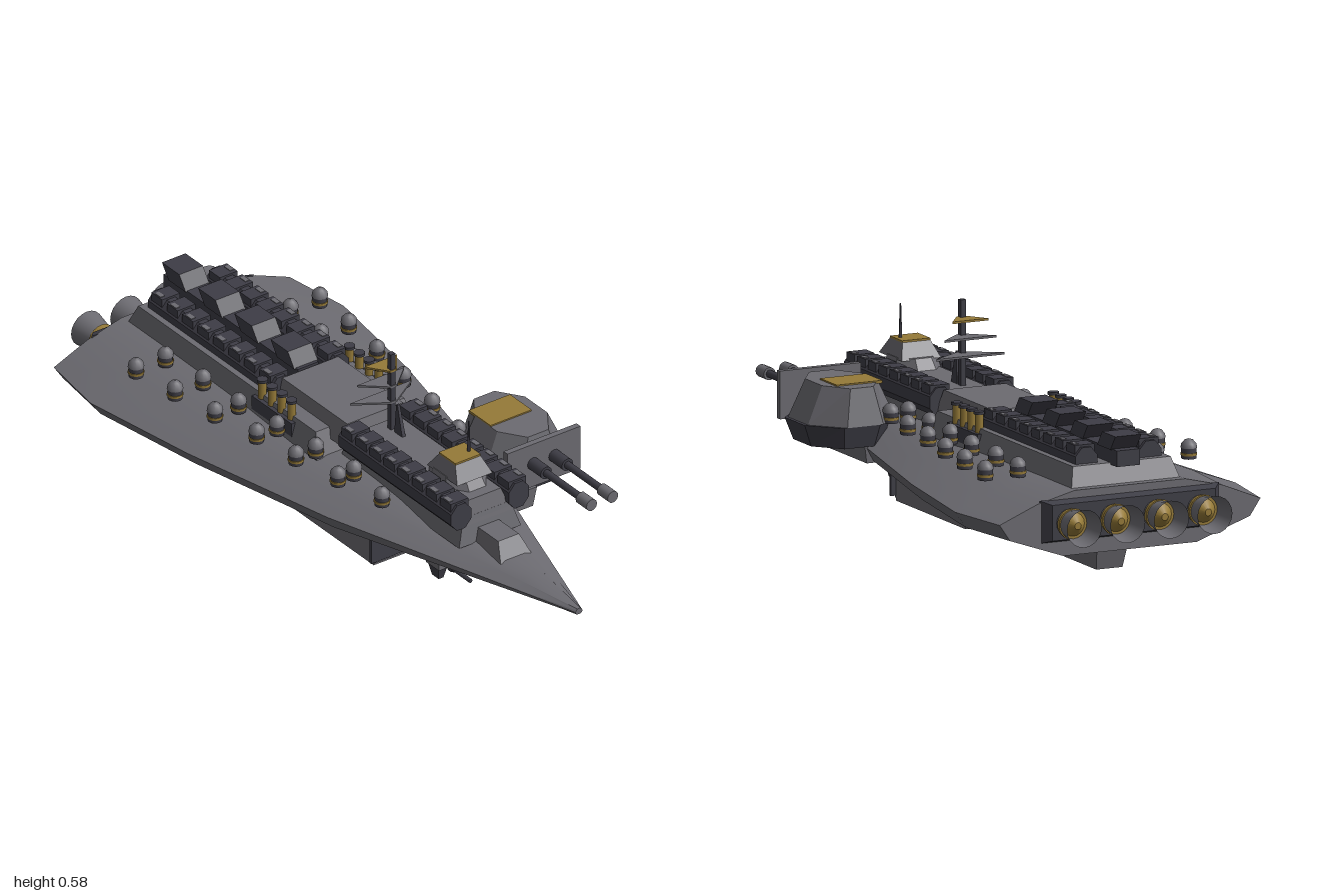
import * as THREE from 'three';
import { toCreasedNormals } from 'three/addons/utils/BufferGeometryUtils.js';

export function createModel() {
  const mat = (name, color) => Object.assign(new THREE.MeshStandardMaterial({ color }), { name });
  const grey = mat('hull grey', 0x6c6b71);
  const dark = mat('dark steel', 0x3e3d46);
  const gold = mat('brass', 0x957a38);
  const bell = mat('nozzle grey', 0x6c6b71);
  bell.side = THREE.DoubleSide;

  const model = new THREE.Group();
  model.name = 'spaceship';
  const ship = new THREE.Group();
  ship.name = 'ship';
  ship.position.x = -0.005;
  model.add(ship);

  const add = (name, geo, material, x = 0, y = 0, z = 0, parent = ship) => {
    const m = new THREE.Mesh(geo, material);
    m.name = name;
    m.position.set(x, y, z);
    parent.add(m);
    return m;
  };
  // Box given by its extents
  const box = (name, m, x0, x1, y0, y1, z0, z1) =>
    add(name, new THREE.BoxGeometry(x1 - x0, y1 - y0, z1 - z0), m, (x0 + x1) / 2, (y0 + y1) / 2, (z0 + z1) / 2);
  // Tapered prism with n sides: half sizes at bottom and top, top shifted along z
  const frustum = (n, bx, bz, tx, tz, h, shift = 0) => {
    const g = new THREE.CylinderGeometry(1, 1, h, n).rotateY(Math.PI / n).toNonIndexed();
    const p = g.attributes.position, k = 1 / Math.cos(Math.PI / n);
    for (let i = 0; i < p.count; i++) {
      const top = p.getY(i) > 0;
      p.setX(i, p.getX(i) * k * (top ? tx : bx));
      p.setZ(i, p.getZ(i) * k * (top ? tz : bz) + (top ? shift : 0));
    }
    g.computeVertexNormals();
    return g;
  };
  const rod = (r0, r1, len, n = 12) => new THREE.CylinderGeometry(r1, r0, len, n).rotateX(Math.PI / 2);

  // Hull: z, half width, edge height, deck height, deck half width, keel height, keel half width
  const stations = [
    [1.0, 0.012, 0.184, 0.193, 0.005, 0.175, 0.006],
    [0.8, 0.075, 0.185, 0.208, 0.02, 0.155, 0.04],
    [0.6, 0.138, 0.185, 0.222, 0.05, 0.135, 0.07],
    [0.2, 0.265, 0.186, 0.245, 0.12, 0.1, 0.13],
    [-0.3, 0.375, 0.186, 0.257, 0.16, 0.087, 0.19],
    [-0.67, 0.43, 0.184, 0.26, 0.17, 0.08, 0.215],
    [-0.88, 0.4, 0.184, 0.26, 0.17, 0.08, 0.205],
  ];
  const pos = [], idx = [];
  for (const [z, w, e, t, tw, b, bw] of stations) {
    const half = [
      [tw, t], [tw + (w - tw) * 0.5, e + (t - e) * 0.62], [w, e],
      [w * 0.92, e + (b - e) * 0.45], [bw, b],
    ];
    const ring = [...half, ...half.slice().reverse().map(([x, y]) => [-x, y])];
    for (const [x, y] of ring) pos.push(x, y, z);
  }
  const N = 10, last = (stations.length - 1) * N;
  for (let i = 0; i < last; i += N)
    for (let j = 0; j < N; j++) {
      const k = (j + 1) % N;
      idx.push(i + j, i + k, i + N + j, i + k, i + N + k, i + N + j);
    }
  for (let j = 1; j < N - 1; j++) {
    idx.push(0, j + 1, j);
    idx.push(last, last + j, last + j + 1);
  }
  const hull = new THREE.BufferGeometry();
  hull.setAttribute('position', new THREE.Float32BufferAttribute(pos, 3));
  hull.setIndex(idx);
  add('hull', toCreasedNormals(hull, 0.35), grey);

  // Raised decks and bridge
  add('rearDeck', frustum(4, 0.17, 0.44, 0.15, 0.41, 0.07), grey, 0, 0.28, -0.42);
  add('middleDeck', frustum(4, 0.11, 0.17, 0.095, 0.15, 0.07), grey, 0, 0.32, -0.09);
  add('frontDeck', frustum(4, 0.105, 0.28, 0.08, 0.265, 0.08), grey, 0, 0.26, 0.31);
  add('spine', frustum(4, 0.08, 0.25, 0.055, 0.235, 0.07), grey, 0, 0.31, 0.33);
  add('bowHousing', frustum(4, 0.052, 0.075, 0.035, 0.055, 0.05, -0.015), grey, 0, 0.235, 0.635);
  add('bridge', frustum(8, 0.07, 0.1, 0.06, 0.07, 0.04), grey, 0, 0.355, 0.44);
  add('bridgeTop', frustum(4, 0.06, 0.07, 0.043, 0.038, 0.045), grey, 0, 0.392, 0.45);
  box('bridgeRoof', gold, -0.043, 0.043, 0.413, 0.42, 0.412, 0.488);
  add('bridgeAntenna', new THREE.CylinderGeometry(0.002, 0.005, 0.1, 6), dark, 0.027, 0.465, 0.455);

  // Mast with triangular vanes
  box('mast', dark, -0.008, 0.008, 0.34, 0.585, 0.127, 0.143);
  add('mastFin', frustum(4, 0.006, 0.02, 0.004, 0.003, 0.1, -0.01), dark, 0, 0.385, 0.175);
  [[0.43, 0.105, grey], [0.48, 0.08, grey], [0.53, 0.055, gold]].forEach(([y, w, m]) => {
    const s = new THREE.Shape([[-w, 0], [w, 0], [0.012, -0.06], [-0.012, -0.06]].map(p => new THREE.Vector2(...p)));
    const g = new THREE.ExtrudeGeometry(s, { depth: 0.006, bevelEnabled: false }).rotateX(-Math.PI / 2);
    add('mastVane', g, m, 0, y, 0.085);
  });

  // Long side batteries with ribs, and canisters
  for (const s of [-1, 1]) {
    for (const [z0, z1] of [[0.07, 0.59], [-0.81, -0.24]]) {
      const len = z1 - z0, zc = (z0 + z1) / 2;
      add('battery', frustum(8, 0.034, 0.04, 0.034, 0.04, len).rotateX(Math.PI / 2), dark, s * 0.098, 0.32, zc);
      for (let i = 0; i < 8; i++) {
        const z = z0 + len * (i + 0.5) / 8;
        box('batteryRib', dark, s * 0.098 - 0.03, s * 0.098 + 0.03, 0.335, 0.366, z - 0.025, z + 0.025);
        box('batteryLatch', grey, s * 0.118 - 0.007, s * 0.118 + 0.007, 0.362, 0.368, z - 0.013, z + 0.013);
      }
    }
    for (let i = 0; i < 4; i++) {
      const z = -0.125 - i * 0.045;
      add('canister', new THREE.CylinderGeometry(0.012, 0.012, 0.07, 10), gold, s * 0.148, 0.322, z);
      add('canisterCap', new THREE.CylinderGeometry(0.016, 0.016, 0.008, 10), dark, s * 0.148, 0.358, z);
    }
    box('canisterRack', dark, s * 0.148 - 0.018, s * 0.148 + 0.018, 0.26, 0.302, -0.285, -0.1);
  }

  // Slanted launchers along the rear spine
  box('launcherBase', dark, -0.035, 0.035, 0.31, 0.355, -0.87, -0.25);
  const fin = new THREE.Shape([[0.05, 0], [0.02, 0.042], [-0.06, 0.042], [-0.03, 0]].map(p => new THREE.Vector2(...p)));
  const finGeo = new THREE.ExtrudeGeometry(fin, { depth: 0.08, bevelEnabled: false }).rotateY(-Math.PI / 2);
  for (let i = 0; i < 4; i++) add('launcher', finGeo, dark, 0.04, 0.353, -0.81 + i * 0.167);

  // Small domed turrets
  const dome = new THREE.LatheGeometry([[0.023, 0], [0.021, 0.012], [0.012, 0.022], [0, 0.026]].map(p => new THREE.Vector2(...p)), 12);
  const drum = new THREE.CylinderGeometry(0.021, 0.021, 0.03, 12);
  const band = new THREE.CylinderGeometry(0.023, 0.023, 0.007, 12);
  const outer = [0.312, 0.295, 0.275, 0.249, 0.231, 0.204, 0.17];
  const inner = [0.212, 0.2, 0.195, 0.18, 0.164, 0.15];
  const turret = (x, z) => {
    add('turretDrum', drum, dark, x, 0.269, z);
    add('turretBand', band, gold, x, 0.267, z);
    add('turretDome', dome, grey, x, 0.284, z);
  };
  for (const row of [outer, inner])
    row.forEach((x, i) => [-1, 1].forEach(s => turret(s * x, -0.62 + i * 0.157)));

  // Main gun turret on the left side
  const gun = new THREE.Group();
  gun.name = 'mainGun';
  gun.position.set(0.302, 0, 0.29);
  ship.add(gun);
  add('gunPedestal', frustum(4, 0.05, 0.12, 0.06, 0.125, 0.06), grey, -0.085, 0.172, 0.015, gun);
  add('gunLowerBody', frustum(8, 0.11, 0.13, 0.133, 0.147, 0.062), dark, 0, 0.225, 0, gun);
  add('gunUpperBody', frustum(8, 0.133, 0.147, 0.085, 0.125, 0.104), grey, -0.01, 0.308, 0, gun);
  add('gunRoof', new THREE.BoxGeometry(0.14, 0.008, 0.1), gold, -0.025, 0.36, -0.03, gun);
  add('gunShield', new THREE.BoxGeometry(0.248, 0.135, 0.018), grey, -0.023, 0.297, 0.16, gun);
  for (const x of [-0.06, 0.012]) {
    add('gunCollar', rod(0.019, 0.019, 0.07), dark, x, 0.303, 0.195, gun);
    add('gunBarrel', rod(0.011, 0.011, 0.25), dark, x, 0.303, 0.28, gun);
    add('gunMuzzle', rod(0.018, 0.018, 0.05), grey, x, 0.303, 0.415, gun);
  }

  // Engines
  add('engineMount', frustum(4, 0.275, 0.06, 0.25, 0.05, 0.028).rotateX(-Math.PI / 2), dark, 0, 0.18, -0.89);
  const nozzle = new THREE.LatheGeometry([[0.037, 0], [0.04, 0.03], [0.045, 0.06], [0.053, 0.1]].map(p => new THREE.Vector2(...p)), 20).rotateX(-Math.PI / 2);
  for (const x of [-0.2, -0.067, 0.067, 0.2]) {
    add('nozzle', nozzle, bell, x, 0.178, -0.9);
    add('nozzleRing', rod(0.044, 0.042, 0.016, 20), gold, x, 0.178, -0.925);
    add('nozzleCore', rod(0.01, 0.036, 0.03, 16), gold, x, 0.178, -0.945);
  }

  // Belly hangar
  box('hangar', grey, -0.145, 0.145, 0.022, 0.14, -0.18, 0.255);
  box('hangarFloor', grey, -0.145, 0.145, 0.014, 0.022, -0.17, 0.25);
  for (const s of [-1, 1]) {
    box('hangarTrim', gold, s * 0.125 - 0.003, s * 0.125 + 0.003, 0.011, 0.016, -0.16, 0.24);
    box('hangarFront', dark, s * 0.12 - 0.04, s * 0.12 + 0.04, 0.028, 0.112, 0.25, 0.259);
  }
  box('hangarFrontCentre', dark, -0.08, 0.08, 0.028, 0.112, 0.25, 0.258);
  box('hangarRamp', gold, -0.12, 0.12, 0.077, 0.09, -0.29, -0.18);

  // Rear belly pod
  add('bellyPod', frustum(4, 0.04, 0.105, 0.05, 0.13, 0.09), grey, 0, 0.047, -0.65);
  for (const s of [-1, 1])
    for (let i = 0; i < 3; i++)
      box('podWindow', gold, s * 0.047 - 0.004, s * 0.047 + 0.004, 0.05, 0.075, -0.62 + i * 0.035, -0.595 + i * 0.035);

  // Chin gun
  box('chinMount', grey, -0.078, 0.078, 0.075, 0.14, 0.4, 0.46);
  add('chinTurret', new THREE.CylinderGeometry(0.03, 0.022, 0.036, 10), dark, 0, 0.058, 0.43);
  for (const s of [-1, 1]) {
    add('chinBarrel', rod(0.006, 0.006, 0.1, 8), dark, s * 0.018, 0.053, 0.475);
    add('chinStrut', frustum(4, 0.008, 0.015, 0.016, 0.025, 0.04), dark, s * 0.06, 0.058, 0.43);
  }
  return model;
}
